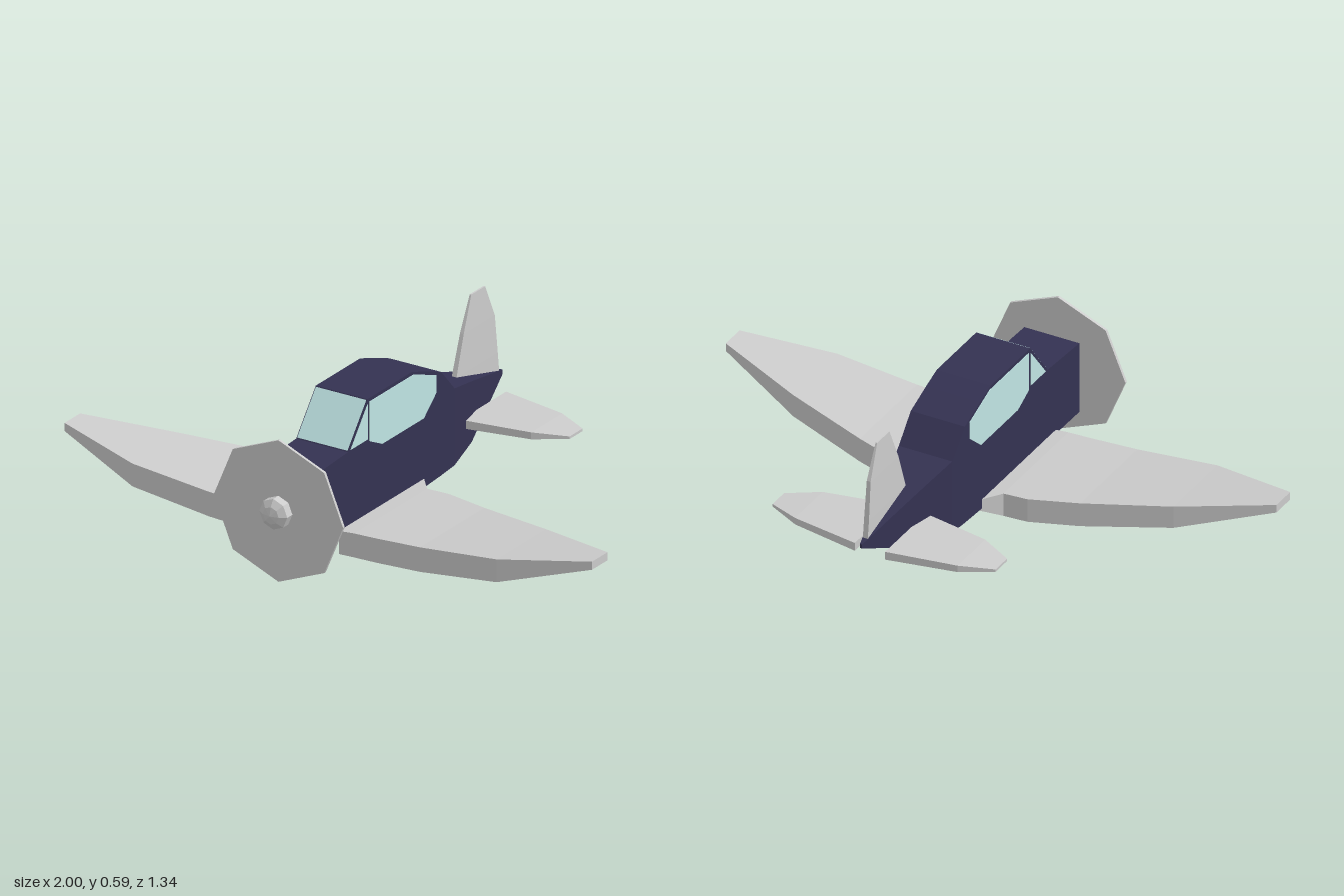
import * as THREE from 'three';

const V = (x, y, z) => new THREE.Vector3(x, y, z);
const material = (color) => new THREE.MeshStandardMaterial({ color, flatShading: true });
const grey = material(0xcccccc);
const navy = material(0x343252);
const glass = material(0xc0e5e4);

// Closed solid through a row of four-cornered cross-sections
function loft(sections) {
  const tris = [];
  const quad = (a, b, c, d) => tris.push([a, b, c], [a, c, d]);
  for (let i = 0; i < sections.length - 1; i++) {
    const s = sections[i], t = sections[i + 1];
    for (let j = 0; j < 4; j++) {
      const k = (j + 1) % 4;
      quad(s[j], s[k], t[k], t[j]);
    }
  }
  const first = sections[0], last = sections[sections.length - 1];
  quad(first[3], first[2], first[1], first[0]);
  quad(...last);
  // Turn the faces outward whichever way the sections run
  const volume = tris.reduce((sum, [a, b, c]) => sum + a.dot(b.clone().cross(c)), 0);
  const points = tris.flatMap((t) => (volume < 0 ? [t[0], t[2], t[1]] : t));
  const geometry = new THREE.BufferGeometry().setFromPoints(points);
  geometry.computeVertexNormals();
  return geometry;
}

export function createModel() {
  const model = new THREE.Group();
  model.name = 'airplane';
  const add = (name, geometry, mat, parent = model) => {
    const mesh = new THREE.Mesh(geometry, mat);
    mesh.name = name;
    parent.add(mesh);
    return mesh;
  };

  // Body parts sit a hair off the wing centre
  const body = new THREE.Group();
  body.name = 'body';
  body.position.x = -0.006;
  model.add(body);

  // Fuselage: z, half width, bottom, top
  add('fuselage', loft([
    [0.583, 0.095, 0.127, 0.367],
    [0.573, 0.1, 0.119, 0.375],
    [0.37, 0.098, 0.118, 0.385],
    [0.256, 0.098, 0.114, 0.527],
    [0, 0.098, 0.102, 0.527],
    [-0.07, 0.098, 0.1, 0.503],
    [-0.17, 0.098, 0.106, 0.465],
    [-0.25, 0.097, 0.112, 0.378],
    [-0.4, 0.064, 0.13, 0.34],
    [-0.67, 0.004, 0.252, 0.267],
  ].map(([z, w, b, t]) => [V(-w, b, z), V(w, b, z), V(w, t, z), V(-w, t, z)])), navy, body);

  // Side glass outlines as z, y
  const panes = {
    sideWindow: [[0.246, 0.515], [-0.01, 0.515], [-0.14, 0.465], [-0.14, 0.404],
      [-0.068, 0.342], [0.173, 0.342], [0.246, 0.378]],
    quarterWindow: [[0.355, 0.388], [0.257, 0.388], [0.257, 0.51]],
  };
  for (const [name, outline] of Object.entries(panes)) {
    const shape = new THREE.Shape(outline.map(([z, y]) => new THREE.Vector2(-z, y)));
    for (const side of [1, -1]) {
      const geometry = new THREE.ExtrudeGeometry(shape, { depth: 0.004, bevelEnabled: false });
      geometry.rotateY(Math.PI / 2).translate(side * 0.098 - 0.002, 0, 0);
      add((side > 0 ? 'left ' : 'right ') + name, geometry, glass, body);
    }
  }

  // Windscreen on the slope ahead of the roof
  const windscreen = add('windscreen', new THREE.BoxGeometry(0.19, 0.174, 0.004), glass, body);
  windscreen.position.set(0, 0.456, 0.313);
  windscreen.rotation.x = -Math.atan2(0.114, 0.142);

  // Tail fin: y, front z, back z, half thickness
  add('tailFin', loft([
    [0.25, -0.37, -0.645, 0.009],
    [0.34, -0.395, -0.634, 0.009],
    [0.475, -0.44, -0.62, 0.007],
    [0.592, -0.49, -0.57, 0.003],
  ].map(([y, f, b, w]) => [V(-w, y, f), V(w, y, f), V(w, y, b), V(-w, y, b)])), grey, body);

  // Flying surfaces: x, front z, back z, bottom, top, bottom at the back
  const surface = (rows, side) => loft(rows.map(([x, f, b, lo, hi, back = lo]) =>
    [V(side * x, lo, f), V(side * x, hi, f), V(side * x, hi, b), V(side * x, back, b)]));
  const wing = [
    [0.093, 0.423, -0.07, 0.052, 0.132, 0.096],
    [0.15, 0.423, 0, 0.054, 0.137],
    [0.235, 0.423, 0.003, 0.056, 0.14],
    [0.4, 0.423, 0.05, 0.064, 0.149],
    [0.69, 0.423, 0.137, 0.098, 0.177],
    [1, 0.343, 0.253, 0.186, 0.214],
  ];
  const tailplane = [
    [0.055, -0.347, -0.612, 0.195, 0.224],
    [0.295, -0.39, -0.57, 0.198, 0.222],
    [0.405, -0.445, -0.52, 0.205, 0.214],
  ];
  for (const side of [1, -1]) {
    const label = side > 0 ? 'left ' : 'right ';
    add(label + 'wing', surface(wing, side), grey);
    add(label + 'tailplane', surface(tailplane, side), grey, body);
  }

  // Eight-sided propeller disc and stepped hub
  const propeller = new THREE.Group();
  propeller.name = 'propeller';
  propeller.position.y = 0.25;
  propeller.rotation.x = Math.PI / 2;
  body.add(propeller);
  propeller.position.z = 0;
  add('propellerDisc', new THREE.CylinderGeometry(0.245, 0.245, 0.01, 8), grey, propeller).position.y = 0.617;
  const hub = [[0, 0.575], [0.071, 0.575], [0.071, 0.612], [0.053, 0.612],
    [0.053, 0.652], [0.03, 0.667], [0, 0.674]];
  add('hub', new THREE.LatheGeometry(hub.map(([r, y]) => new THREE.Vector2(r, y)), 8), grey, propeller);

  return model;
}
